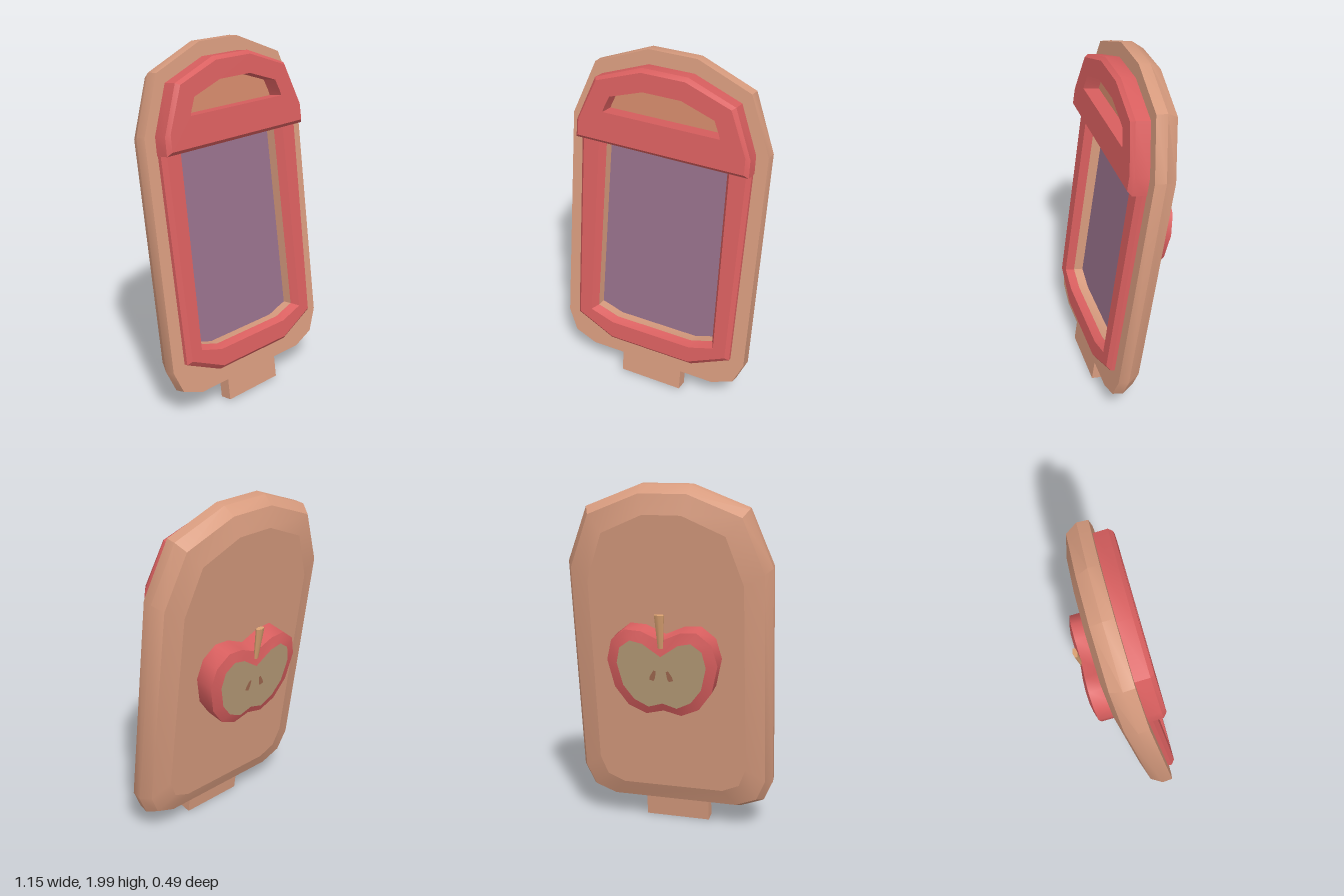
import * as THREE from 'three';
import { mergeGeometries, toCreasedNormals } from 'three/addons/utils/BufferGeometryUtils.js';

const TAN = 0xd79b7e, RED = 0xd95f5f;

// Mirrors a half outline (bottom to top on +x) into a closed counter-clockwise loop.
const mirror = (half) => [
  ...half,
  ...half.filter(([x]) => x > 0).reverse().map(([x, y]) => [-x, y]),
];

// Shrinks an outline by about d on every side.
function inset(loop, d) {
  const ys = loop.map((p) => p[1]), w = Math.max(...loop.map((p) => p[0]));
  const lo = Math.min(...ys), hi = Math.max(...ys), c = (lo + hi) / 2;
  return loop.map(([x, y]) => [x * (1 - d / w), c + (y - c) * (1 - (2 * d) / (hi - lo))]);
}

// Flat face filling an outline at depth z, facing front or back.
function cap(loop, z, back = false) {
  const g = new THREE.ShapeGeometry(new THREE.Shape(loop.map(([x, y]) => new THREE.Vector2(x, y))));
  if (back) {
    const idx = g.index.array;
    for (let i = 0; i < idx.length; i += 3) [idx[i], idx[i + 1]] = [idx[i + 1], idx[i]];
    g.computeVertexNormals();
  }
  return g.translate(0, 0, z).toNonIndexed();
}

// Skins a list of [outline, z] rings, optionally closing the back end.
function loft(rings, { backCap = false, crease = 0.6 } = {}) {
  const n = rings[0][0].length, pos = [], index = [];
  for (const [loop, z] of rings) for (const [x, y] of loop) pos.push(x, y, z);
  for (let r = 0; r < rings.length - 1; r++) {
    for (let i = 0; i < n; i++) {
      const a = r * n + i, b = r * n + ((i + 1) % n);
      index.push(a, b, b + n, a, b + n, a + n);
    }
  }
  let g = new THREE.BufferGeometry();
  g.setAttribute('position', new THREE.Float32BufferAttribute(pos, 3));
  g.setIndex(index);
  g = toCreasedNormals(g, crease);
  if (!backCap) return g;
  const c = cap(rings[0][0], rings[0][1], true);
  c.deleteAttribute('uv');
  return mergeGeometries([g, c]);
}

export function createModel() {
  const model = new THREE.Group();
  model.name = 'tabletDevice';
  const tilted = new THREE.Group();
  tilted.name = 'leaningAssembly';
  tilted.position.z = 0.24;
  tilted.rotation.x = -0.145;
  model.add(tilted);

  const add = (name, geometry, color) => {
    const mesh = new THREE.Mesh(geometry, new THREE.MeshStandardMaterial({ color }));
    mesh.name = name;
    tilted.add(mesh);
    return mesh;
  };

  // Body shell: rounded back, flat front with a screen recess
  const body = mirror([[0.39, 0.135], [0.52, 0.187], [0.575, 0.315], [0.575, 1.59], [0.45, 1.9], [0.14, 2.022]]);
  const recess = mirror([[0.24, 0.375], [0.3, 0.395], [0.37, 0.415], [0.358, 1.5], [0.25, 1.5], [0.1, 1.5]]);
  add('body', loft([
    [inset(body, 0.14), -0.16], [inset(body, 0.035), -0.125], [body, -0.06],
    [inset(body, 0.004), 0], [recess, 0], [recess, -0.055],
  ], { backCap: true }), TAN);
  add('screen', cap(recess, -0.055), 0x96708a);

  // Plug tab at the bottom
  add('bottomTab', new THREE.BoxGeometry(0.38, 0.17, 0.07).translate(0, 0.1, -0.0355), TAN);

  // Raised bezel around the screen
  const outer = mirror([[0.26, 0.235], [0.49, 0.342], [0.5, 1.52]]);
  const inner = mirror([[0.24, 0.375], [0.37, 0.415], [0.358, 1.51]]);
  const innerTop = mirror([[0.25, 0.355], [0.395, 0.4], [0.385, 1.515]]);
  add('screenBezel', loft([
    [outer, -0.005], [outer, 0.022], [inset(outer, 0.022), 0.045], [innerTop, 0.045], [inner, 0],
  ], { crease: 0.4 }), RED);

  // Hood above the screen with a window through it
  const hood = mirror([[0.505, 1.485], [0.503, 1.585], [0.4, 1.84], [0.13, 1.94]]);
  const win = mirror([[0.338, 1.665], [0.33, 1.69], [0.3, 1.757], [0.11, 1.82]]);
  add('hood', loft([
    [win, 0], [hood, 0], [hood, 0.078], [inset(hood, 0.02), 0.1], [win, 0.1], [win, 0],
  ], { crease: 0.4 }), RED);
  add('hoodWindow', cap(win, 0.012), 0xd2886a);

  // Halved apple on the back
  const apple = mirror([
    [0, 0.815], [0.1, 0.79], [0.2, 0.835], [0.275, 0.94], [0.31, 1.1],
    [0.28, 1.215], [0.2, 1.28], [0.11, 1.275], [0, 1.225],
  ]);
  const flesh = mirror([
    [0, 0.865], [0.08, 0.84], [0.16, 0.88], [0.22, 0.96], [0.25, 1.09],
    [0.23, 1.18], [0.17, 1.225], [0.1, 1.21], [0, 1.14],
  ]);
  add('appleSkin', loft([[flesh, -0.29], [apple, -0.272], [apple, -0.15]], { crease: 1.0 }), RED);
  add('appleFlesh', cap(flesh, -0.29, true), 0xb79c78);
  const stem = add('appleStem', new THREE.CylinderGeometry(0.03, 0.016, 0.19, 6), 0xd9a070);
  stem.scale.z = 0.45;
  stem.position.set(0, 1.28, -0.278);

  // Two seeds leaning towards each other
  for (const s of [-1, 1]) {
    const seed = add('appleSeed', cap(mirror([[0.013, -0.03], [0.015, -0.01], [0.007, 0.03]]), 0, true), 0xa06a50);
    seed.position.set(s * 0.045, 1.03, -0.293);
    seed.rotation.z = s * 0.35;
  }
  return model;
}
